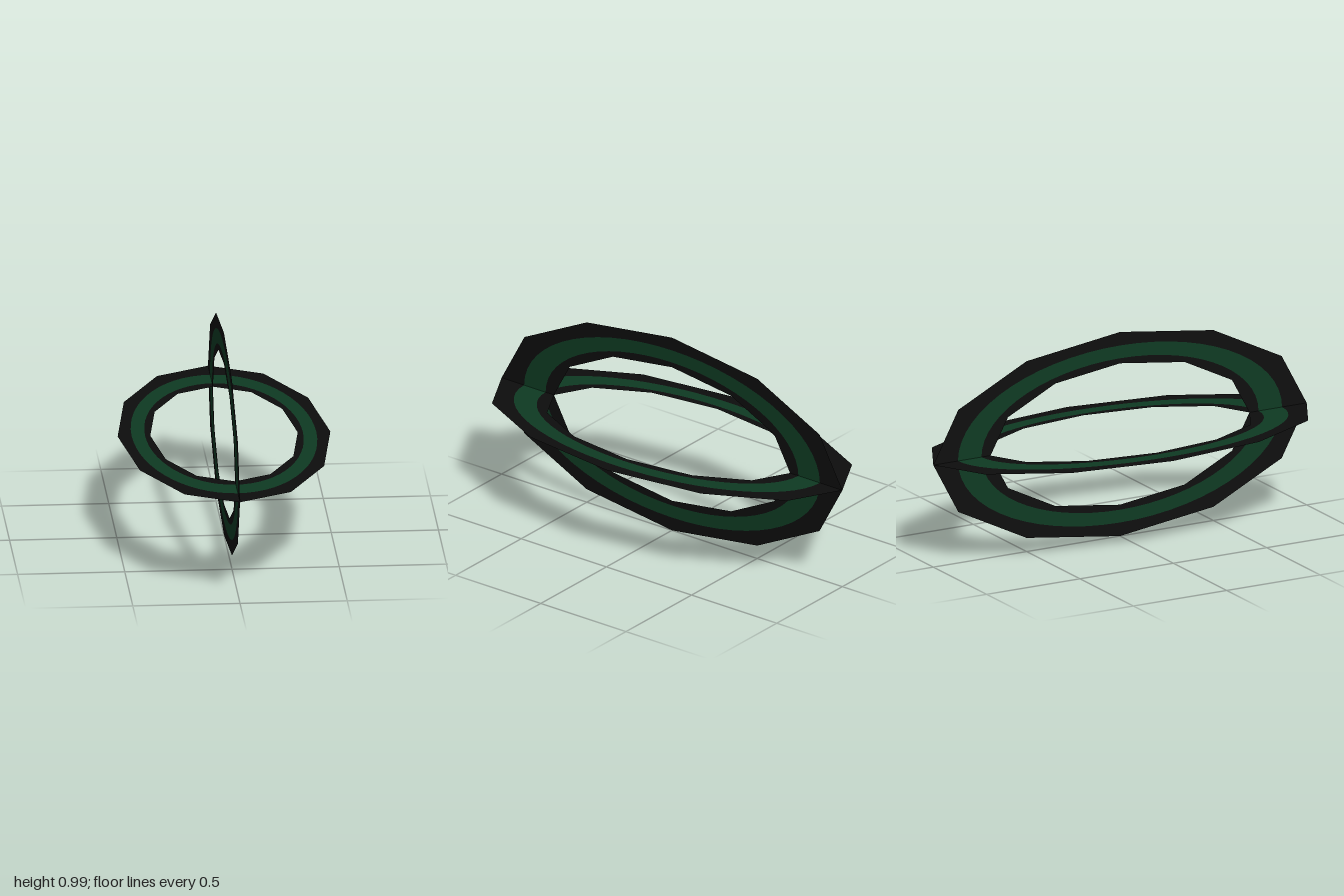
import * as THREE from 'three';

const black = new THREE.MeshStandardMaterial({ color: 0x0d0d0d, side: THREE.DoubleSide });
black.name = 'black';
const green = new THREE.MeshStandardMaterial({ color: 0x0e3a22, side: THREE.DoubleSide });
green.name = 'dark green';

const ROUND = 60;   // sides of the smooth painted band
const FACETS = 12;  // sides of the low-poly ring outline

function polygon(radius, sides, Type) {
  const points = [];
  for (let i = 0; i < sides; i++) {
    const a = (i / sides) * Math.PI * 2;
    points.push(new THREE.Vector2(Math.cos(a) * radius, Math.sin(a) * radius));
  }
  return new Type(points);
}

// Flat zone between two concentric outlines
function zone(name, outer, outerSides, inner, innerSides, material) {
  const shape = polygon(outer, outerSides, THREE.Shape);
  shape.holes.push(polygon(inner, innerSides, THREE.Path));
  const mesh = new THREE.Mesh(new THREE.ShapeGeometry(shape), material);
  mesh.name = name;
  return mesh;
}

// Paper-thin stretched ring: black borders with a green band between them
function makeRing(name) {
  const ring = new THREE.Group();
  ring.name = name;
  ring.add(
    zone('outerBorder', 1, FACETS, 0.868, ROUND, black),
    zone('greenBand', 0.868, ROUND, 0.742, ROUND, green),
    zone('innerBorder', 0.742, ROUND, 0.693, FACETS, black)
  );
  ring.scale.set(1, 0.496, 1);
  ring.position.y = 0.5;
  return ring;
}

export function createModel() {
  const model = new THREE.Group();
  model.name = 'crossedRings';

  // Upright ring in the x = 0 plane, long axis along z
  const upright = makeRing('uprightRing');
  upright.rotation.y = Math.PI / 2;

  // Level ring at mid height, long axis along z
  const level = makeRing('levelRing');
  level.rotation.set(-Math.PI / 2, 0, Math.PI / 2);

  model.add(upright, level);
  return model;
}
